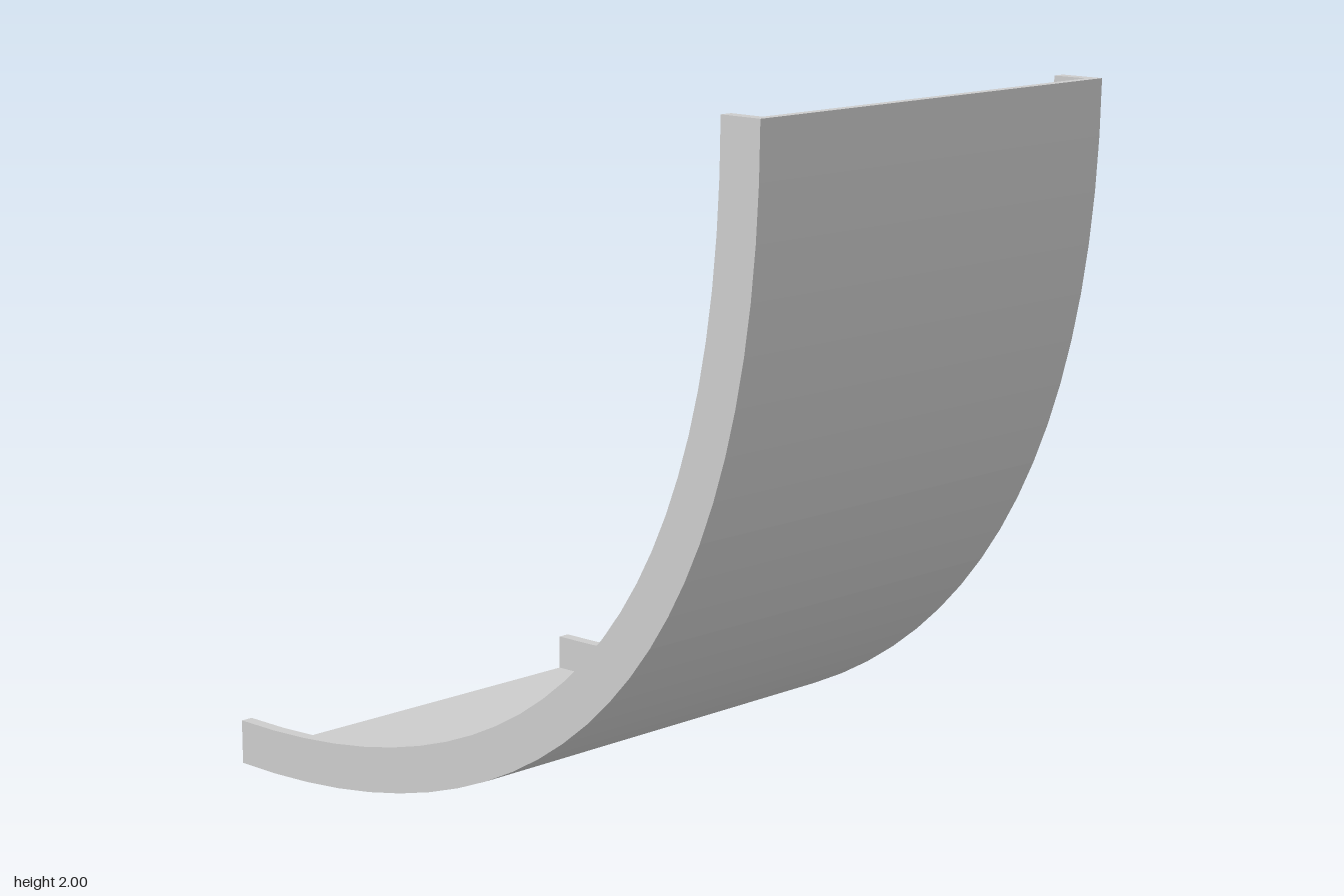
import * as THREE from 'three';

// Curved channel: a U-shaped section swept along a quadratic curve.
const SEGMENTS = 26;
const DEPTH = 0.126;   // rail height
const FLOOR = 0.026;   // floor thickness
const HALF = 0.635;    // half width
const INNER = 0.6;     // inner face of the rails

function sweepChannel() {
  const h = DEPTH / 2;
  const path = new THREE.QuadraticBezierCurve(
    new THREE.Vector2(-1, h), new THREE.Vector2(1 - h, h), new THREE.Vector2(1 - h, 2));

  // U section as (z, distance from the outer surface), counter-clockwise
  const section = [
    [-HALF, 0], [HALF, 0], [HALF, DEPTH], [INNER, DEPTH],
    [INNER, FLOOR], [-INNER, FLOOR], [-INNER, DEPTH], [-HALF, DEPTH],
  ].map(([z, d]) => new THREE.Vector2(z, d));
  const n = section.length;

  const positions = [];
  const index = [];
  for (let i = 0; i <= SEGMENTS; i++) {
    const t = i / SEGMENTS;
    const p = path.getPoint(t);
    const len = Math.hypot(1 - t, t);
    const nx = -t / len, ny = (1 - t) / len;
    for (const s of section) {
      positions.push(p.x + nx * (s.y - h), p.y + ny * (s.y - h), s.x);
    }
  }

  // Side walls of the sweep
  for (let i = 0; i < SEGMENTS; i++) {
    for (let k = 0; k < n; k++) {
      const a = i * n + k, b = i * n + (k + 1) % n;
      index.push(a, a + n, b + n, a, b + n, b);
    }
  }

  // End caps
  const last = SEGMENTS * n;
  for (const [a, b, c] of THREE.ShapeUtils.triangulateShape(section, [])) {
    index.push(a, b, c, last + a, last + c, last + b);
  }

  const indexed = new THREE.BufferGeometry();
  indexed.setAttribute('position', new THREE.Float32BufferAttribute(positions, 3));
  indexed.setIndex(index);
  const geometry = indexed.toNonIndexed();
  geometry.computeVertexNormals();
  return geometry;
}

export function createModel() {
  const group = new THREE.Group();
  group.name = 'curvedChannel';
  const channel = new THREE.Mesh(
    sweepChannel(),
    new THREE.MeshStandardMaterial({ color: 0xcccccc, flatShading: true }));
  channel.name = 'channelWithSideRails';
  group.add(channel);
  return group;
}
